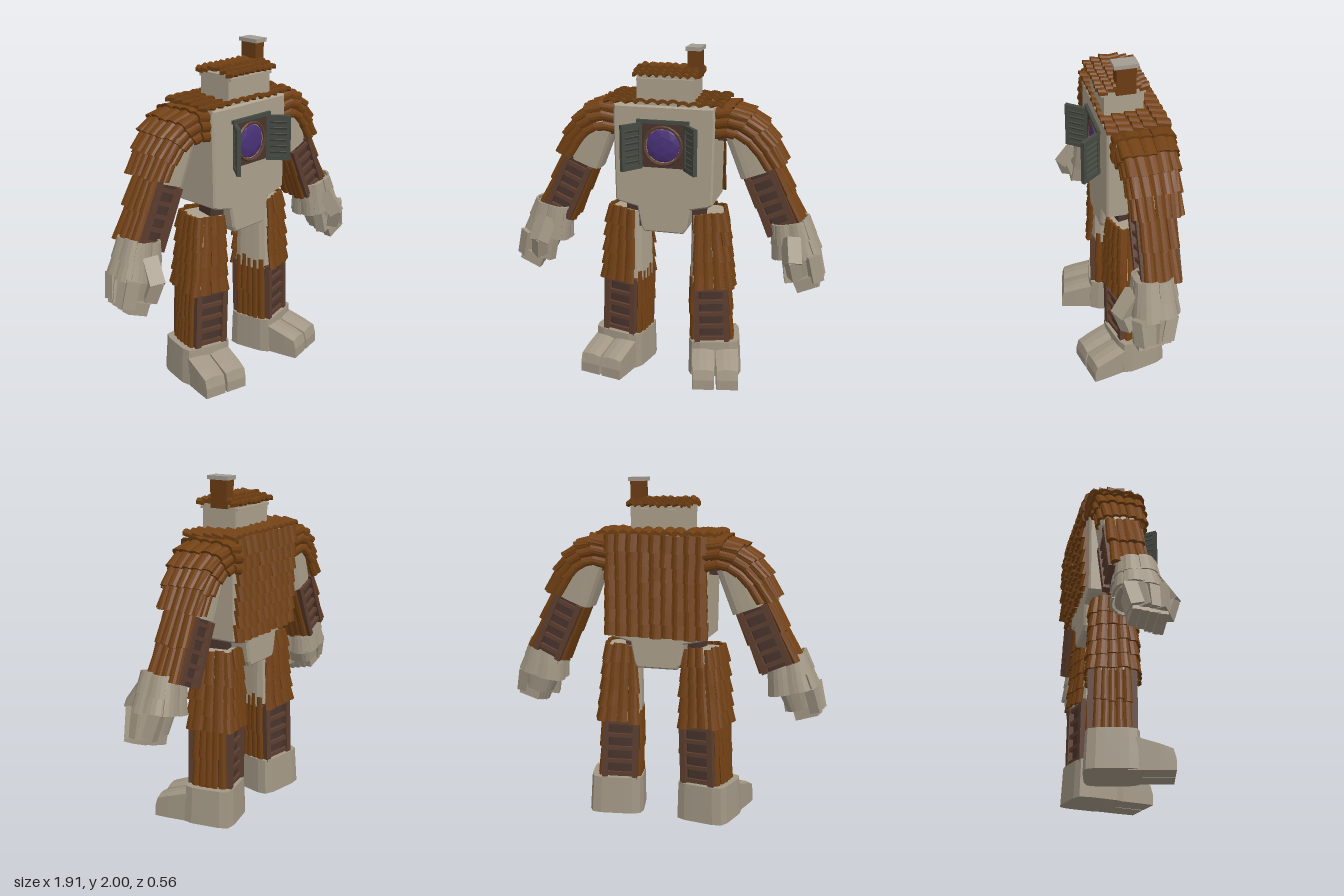
import * as THREE from 'three';
import { mergeGeometries } from 'three/addons/utils/BufferGeometryUtils.js';

const paint = (name, color) => Object.assign(new THREE.MeshStandardMaterial({ color }), { name });
const V = (x, y, z = 0) => new THREE.Vector3(x, y, z);
const { lerp } = THREE.MathUtils;
let seed = 7;
const jitter = (a) => {
  seed = (seed * 16807) % 2147483647;
  return (seed / 2147483647 - 0.5) * 2 * a;
};

// Adds a faceted mesh
function add(group, name, geo, mat) {
  const g = geo.index ? geo.toNonIndexed() : geo;
  g.clearGroups();
  g.computeVertexNormals();
  const mesh = new THREE.Mesh(g, mat);
  mesh.name = name;
  group.add(mesh);
}

// Moves every vertex of a geometry by a rule
function warp(geo, rule) {
  const p = geo.attributes.position;
  for (let i = 0; i < p.count; i++) {
    const q = rule(p.getX(i), p.getY(i), p.getZ(i));
    p.setXYZ(i, q.x, q.y, q.z);
  }
  return geo;
}

const block = (w, h, d, x, y, z) => new THREE.BoxGeometry(w, h, d).translate(x, y, z);

// Bar from a to b
function rod(a, b, w, d = w) {
  const dir = b.clone().sub(a);
  const q = new THREE.Quaternion().setFromUnitVectors(V(0, 1), dir.clone().normalize());
  const mid = a.clone().add(b).multiplyScalar(0.5);
  return new THREE.BoxGeometry(w, dir.length(), d).applyQuaternion(q).translate(mid.x, mid.y, mid.z);
}

// Limb with a rounded-square section along a curve in the xy plane; v runs from bottom (0) to top (1)
function limb(top, bottom, rTop, rBottom, z = 0, bend = null, n = 4.5) {
  const mid = bend || top.map((c, i) => (c + bottom[i]) / 2);
  const curve = (v, i) => v * v * top[i] + 2 * v * (1 - v) * mid[i] + (1 - v) * (1 - v) * bottom[i];
  const slope = (v, i) => v * (top[i] - mid[i]) + (1 - v) * (mid[i] - bottom[i]);
  const at = (out, v, dz) => {
    const up = V(slope(v, 0), slope(v, 1)).normalize();
    return V(curve(v, 0) + up.y * out, curve(v, 1) - up.x * out, z + dz);
  };
  const skin = (a, v, off = 0, k = 1) => {
    const c = Math.cos(a), s = Math.sin(a);
    const r = k * (Math.abs(c) ** n + Math.abs(s) ** n) ** (-1 / n);
    return at(c * r * (lerp(rBottom[0], rTop[0], v) + off), v, s * r * (lerp(rBottom[1], rTop[1], v) + off));
  };
  const solid = () => warp(new THREE.CylinderGeometry(1, 1, 1, 24, 4),
    (x, y, zz) => skin(Math.atan2(zz, x), y + 0.5, 0, Math.hypot(x, zz)));
  const arc = (from, to) => (u, v, off) => skin(THREE.MathUtils.degToRad(lerp(from, to, u)), v, off);
  return { at, solid, arc };
}

// Overlapping arched tiles laid over a surface S(u, v, offset)
function tiles(S, cols, rows, lift = 0.018, arch = 0.012, thick = 0.015) {
  const list = [];
  for (let j = 0; j < rows; j++) for (let i = 0; i < cols; i++) {
    const du = jitter(0.06), dv = jitter(0.08), dl = jitter(0.004);
    list.push(warp(new THREE.BoxGeometry(1, 1, 1, 4, 1, 1), (x, y, z) => S(
      (i + 0.5 + x * 0.99 + du) / cols,
      (j + 0.58 + y * 1.2 + dv) / rows,
      (lift + dl) * (0.5 - y) + arch * (1 - 4 * x * x) + thick * (z + 0.5))));
  }
  return mergeGeometries(list);
}

// Rails and rungs on the front and back of a limb
function ladder(L, w, z, rungs) {
  const list = [];
  for (const s of [-1, 1]) {
    for (const e of [-1, 1]) list.push(rod(L.at(e * w, 0, s * z), L.at(e * w, 0.98, s * z), 0.034, 0.04));
    for (let i = 0; i < rungs; i++) {
      const v = (i + 0.5) / rungs;
      list.push(rod(L.at(-w, v, s * z), L.at(w, v, s * z), 0.024, 0.025));
    }
  }
  return mergeGeometries(list);
}

// Mirrored copy of a group across x = 0
function mirrored(group, name) {
  group.updateMatrixWorld(true);
  const out = new THREE.Group();
  out.name = name;
  group.traverse((m) => {
    if (!m.isMesh) return;
    const g = m.geometry.clone().applyMatrix4(m.matrixWorld).scale(-1, 1, 1);
    const p = g.attributes.position;
    for (let i = 0; i < p.count; i += 3) {
      const b = V(0, 0).fromBufferAttribute(p, i + 1), c = V(0, 0).fromBufferAttribute(p, i + 2);
      p.setXYZ(i + 1, c.x, c.y, c.z);
      p.setXYZ(i + 2, b.x, b.y, b.z);
    }
    add(out, m.name, g, m.material);
  });
  return out;
}

export function createModel() {
  const plaster = paint('plaster', 0xaca08c), clay = paint('clay tile', 0x714013);
  const dark = paint('dark wood', 0x49342d), wood = paint('ladder wood', 0x5d3e2f);
  const stone = paint('stone', 0xa29785), shutterMat = paint('shutter', 0x454a42);
  const purple = paint('purple glass', 0x4a3278), brick = paint('chimney brick', 0x6b3c14);
  const capMat = paint('chimney cap', 0xa39c92);
  const model = new THREE.Group();

  // Torso
  const half = [[0.295, 1.67], [0.3, 1.6], [0.292, 1.1], [0.27, 1.085], [0.16, 1.06], [0.137, 0.94], [0.12, 0.91]];
  const outline = [...half, ...half.map(([x, y]) => [-x, y]).reverse()].map(([x, y]) => new THREE.Vector2(x, y));
  add(model, 'torso', new THREE.ExtrudeGeometry(new THREE.Shape(outline), {
    depth: 0.284, bevelThickness: 0.012, bevelSize: 0.01, bevelOffset: -0.01, bevelSegments: 1,
  }).translate(0, 0, -0.197), plaster);
  add(model, 'backTiles', tiles((u, v, o) => V(lerp(0.305, -0.305, u), lerp(1.1, 1.67, v), -0.205 - 0.014 * v - o), 9, 7, 0.02, 0.017, 0.02), clay);
  add(model, 'shoulderTiles', tiles((u, v, o) => V(lerp(-0.35, 0.34, u), 1.655 + 0.02 * v + o, lerp(0.105, -0.23, v)), 11, 5, 0.022, 0.014, 0.02), clay);

  // Head and roof
  add(model, 'head', block(0.335, 0.22, 0.22, 0.007, 1.73, -0.027), plaster);
  add(model, 'roofBoard', block(0.33, 0.015, 0.25, 0.007, 1.817, -0.025), plaster);
  add(model, 'roofFront', tiles((u, v, o) => V(lerp(-0.175, 0.19, u), lerp(1.815, 1.85, v) + o, lerp(0.12, -0.01, v)), 8, 3, 0.022, 0.014, 0.02), clay);
  add(model, 'roofBack', tiles((u, v, o) => V(lerp(0.19, -0.175, u), lerp(1.815, 1.85, v) + o, lerp(-0.165, -0.03, v)), 8, 3, 0.022, 0.014, 0.02), clay);
  add(model, 'chimney', block(0.07, 0.16, 0.11, 0.157, 1.9, -0.035), brick);
  add(model, 'chimneyCap', block(0.088, 0.022, 0.135, 0.157, 1.989, -0.033), capMat);

  // Round window
  const panel = new THREE.Shape([[-0.13, 1.31], [0.13, 1.31], [0.13, 1.575], [-0.13, 1.575]].map((p) => new THREE.Vector2(...p)));
  panel.holes.push(new THREE.Path().absarc(0, 1.44, 0.105, 0, Math.PI * 2, true));
  add(model, 'windowPanel', new THREE.ExtrudeGeometry(panel, { depth: 0.008, bevelEnabled: false }).translate(0, 0, 0.098), dark);
  add(model, 'windowRing', new THREE.TorusGeometry(0.11, 0.01, 5, 20).translate(0, 1.44, 0.106), wood);
  add(model, 'windowGlass', new THREE.IcosahedronGeometry(0.107, 1).scale(1, 1, 0.26).translate(0, 1.44, 0.092), purple);
  add(model, 'windowLintel', block(0.31, 0.022, 0.025, 0, 1.58, 0.105), shutterMat);

  // Open shutter
  const shutter = new THREE.Group();
  shutter.name = 'leftShutter';
  const leaf = new THREE.Group();
  leaf.position.set(0.174, 1.437, 0.16);
  leaf.rotation.y = -0.92;
  shutter.add(leaf);
  add(leaf, 'shutterPlate', block(0.14, 0.27, 0.01, 0, 0, 0), shutterMat);
  const trim = [];
  for (const e of [-1, 1]) trim.push(block(0.022, 0.27, 0.024, e * 0.06, 0, 0), block(0.1, 0.025, 0.024, 0, e * 0.122, 0));
  for (let i = 0; i < 6; i++) trim.push(new THREE.BoxGeometry(0.1, 0.022, 0.012).rotateX(0.5).translate(0, -0.09 + i * 0.036, 0));
  add(leaf, 'shutterSlats', mergeGeometries(trim), shutterMat);
  model.add(shutter, mirrored(shutter, 'rightShutter'));

  // Arm
  const arm = new THREE.Group();
  arm.name = 'leftArm';
  const upper = limb([0.3, 1.555], [0.565, 1.31], [0.1, 0.145], [0.1, 0.105], -0.09, [0.47, 1.575]);
  add(arm, 'shoulderJoint', block(0.09, 0.13, 0.15, 0.33, 1.53, -0.085), dark);
  add(arm, 'upperArm', limb([0.43, 1.52], [0.525, 1.275], [0.1, 0.11], [0.1, 0.1], -0.09).solid(), plaster);
  const sleeve = (u, v, o) => upper.arc(lerp(82, 118, v), -lerp(82, 118, v))(u, v, o);
  add(arm, 'upperArmTiles', tiles(sleeve, 9, 5), clay);
  const fore = limb([0.545, 1.29], [0.7, 0.95], [0.09, 0.09], [0.085, 0.08], -0.085);
  add(arm, 'forearm', fore.solid(), dark);
  add(arm, 'forearmLadder', ladder(fore, 0.074, 0.092, 5), wood);
  add(arm, 'forearmOuterTiles', tiles(fore.arc(46, -46), 4, 2, 0.02, 0.01, 0.02), clay);
  add(arm, 'forearmInnerTiles', tiles(fore.arc(-136, -224), 4, 2, 0.012, 0.006, 0.01), clay);

  // Stone hand
  const cuff = limb([0.735, 1.0], [0.775, 0.81], [0.095, 0.095], [0.125, 0.11], -0.045, null, 3);
  add(arm, 'cuff', cuff.solid(), stone);
  add(arm, 'cuffStones', tiles(cuff.arc(180, -180), 8, 2, 0.006, 0.006, 0.012), stone);
  add(arm, 'palm', limb([0.78, 0.84], [0.82, 0.7], [0.105, 0.105], [0.08, 0.085], -0.025, null, 3).solid(), stone);
  const digits = [];
  for (let i = 0; i < 4; i++) {
    const z = -0.11 + i * 0.058, tip = z * 0.75 + 0.005, drop = i * 0.012;
    digits.push(rod(V(0.875, 0.84, z), V(0.91, 0.7 - drop / 2, tip), 0.07, 0.056));
    digits.push(rod(V(0.915, 0.71 - drop / 2, tip), V(0.79, 0.672 - drop, tip), 0.07, 0.054));
  }
  // Thumb
  digits.push(rod(V(0.75, 0.93, 0.06), V(0.775, 0.8, 0.145), 0.085), rod(V(0.77, 0.83, 0.14), V(0.79, 0.71, 0.1), 0.07));
  digits.push(rod(V(0.73, 0.82, 0.03), V(0.755, 0.66, 0.05), 0.065));
  add(arm, 'fingers', mergeGeometries(digits), stone);
  model.add(arm, mirrored(arm, 'rightArm'));

  // Leg, turned slightly outward
  const side = new THREE.Group();
  side.name = 'leftLeg';
  const leg = new THREE.Group();
  leg.position.set(0.25, 0, -0.06);
  leg.rotation.y = 0.22;
  side.add(leg);
  add(leg, 'hipJoint', block(0.09, 0.16, 0.13, -0.065, 1.0, 0.01), dark);
  const thigh = limb([-0.015, 1.02], [0.005, 0.57], [0.095, 0.105], [0.122, 0.122]);
  add(leg, 'thigh', thigh.solid(), plaster);
  add(leg, 'thighTiles', tiles(thigh.arc(128, -128), 11, 5, 0.014, 0.01, 0.014), clay);
  const shin = limb([0.005, 0.6], [0.02, 0.2], [0.105, 0.11], [0.108, 0.112]);
  add(leg, 'shin', shin.solid(), dark);
  add(leg, 'shinLadder', ladder(shin, 0.09, 0.115, 5), wood);
  add(leg, 'shinOuterTiles', tiles(shin.arc(42, -42), 5, 2, 0.012, 0.008, 0.01), clay);
  add(leg, 'shinInnerTiles', tiles(shin.arc(-138, -222), 5, 2, 0.012, 0.008, 0.01), clay);

  // Foot with two toes
  add(leg, 'foot', limb([0.035, 0.222], [0.04, 0], [0.155, 0.145], [0.163, 0.155], 0, null, 6).solid(), stone);
  for (const x of [-0.032, 0.112]) {
    add(leg, 'toe', warp(new THREE.BoxGeometry(0.135, 1, 0.25, 3, 2, 3), (px, y, z) => {
      const f = (z + 0.125) / 0.25;
      const edge = Math.abs(px) > 0.06 && y > 0.4 ? 0.01 : 0;
      return V(x + px * (f > 0.9 ? 0.95 : 1), (y + 0.5) * (lerp(0.2, 0.125, f) - edge), 0.08 + f * 0.25 - (f > 0.9 && y > 0.4 ? 0.015 : 0));
    }), stone);
  }
  model.add(side, mirrored(side, 'rightLeg'));

  return model;
}
